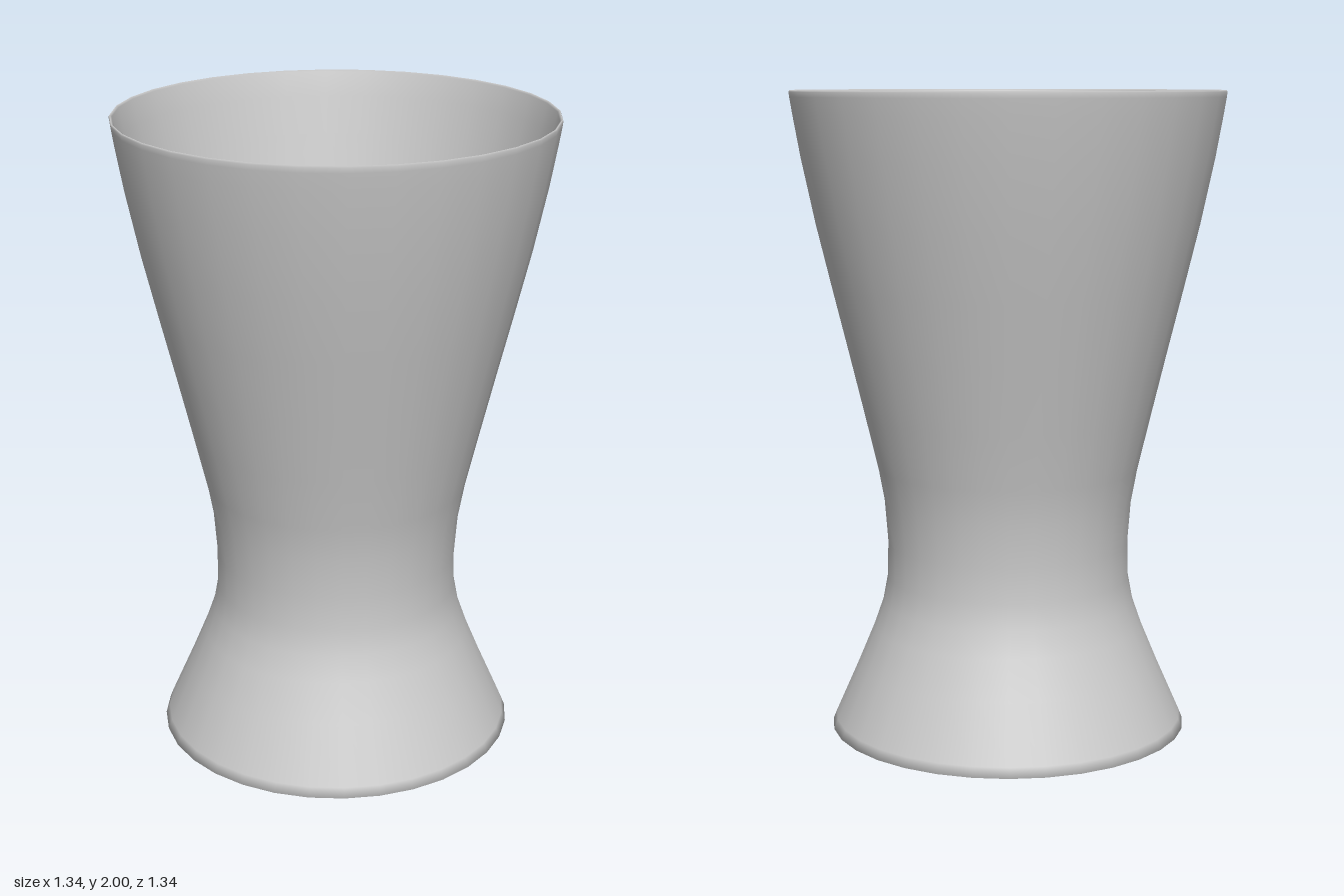
import * as THREE from 'three';

export function createModel() {
  const group = new THREE.Group();
  group.name = 'doubleCup';
  const material = new THREE.MeshStandardMaterial({ color: 0xcccccc, side: THREE.DoubleSide });
  const sides = 32;

  // Each profile is a list of [radius, height]
  const underside = [[0, 0.27], [0.03, 0.262], [0.28, 0.135], [0.52, 0.015], [0.54, 0]];
  const outerWall = [
    [0.562, 0], [0.55, 0.03], [0.475, 0.2], [0.425, 0.32], [0.397, 0.4], [0.382, 0.48], [0.38, 0.59],
    [0.39, 0.72], [0.41, 0.83], [0.45, 1], [0.498, 1.2], [0.547, 1.4], [0.595, 1.6],
    [0.637, 1.8], [0.66, 1.93], [0.668, 1.98],
  ];
  const rim = [[0.67, 1.995], [0.667, 2], [0.66, 1.995]];
  const innerWall = [
    [0.645, 1.92], [0.617, 1.8], [0.575, 1.6], [0.527, 1.4], [0.478, 1.2], [0.43, 1],
    [0.388, 0.83], [0.355, 0.7], [0.3, 0.59], [0.2, 0.5], [0.1, 0.455], [0, 0.44],
  ];

  // One continuous turned shell: hollow foot, waisted wall, rim and bowl
  const profile = [...underside, ...outerWall, ...rim, ...innerWall]
    .map(([r, y]) => new THREE.Vector2(r, y));
  const cup = new THREE.Mesh(new THREE.LatheGeometry(profile, sides), material);
  cup.name = 'cupShell';
  group.add(cup);

  return group;
}
